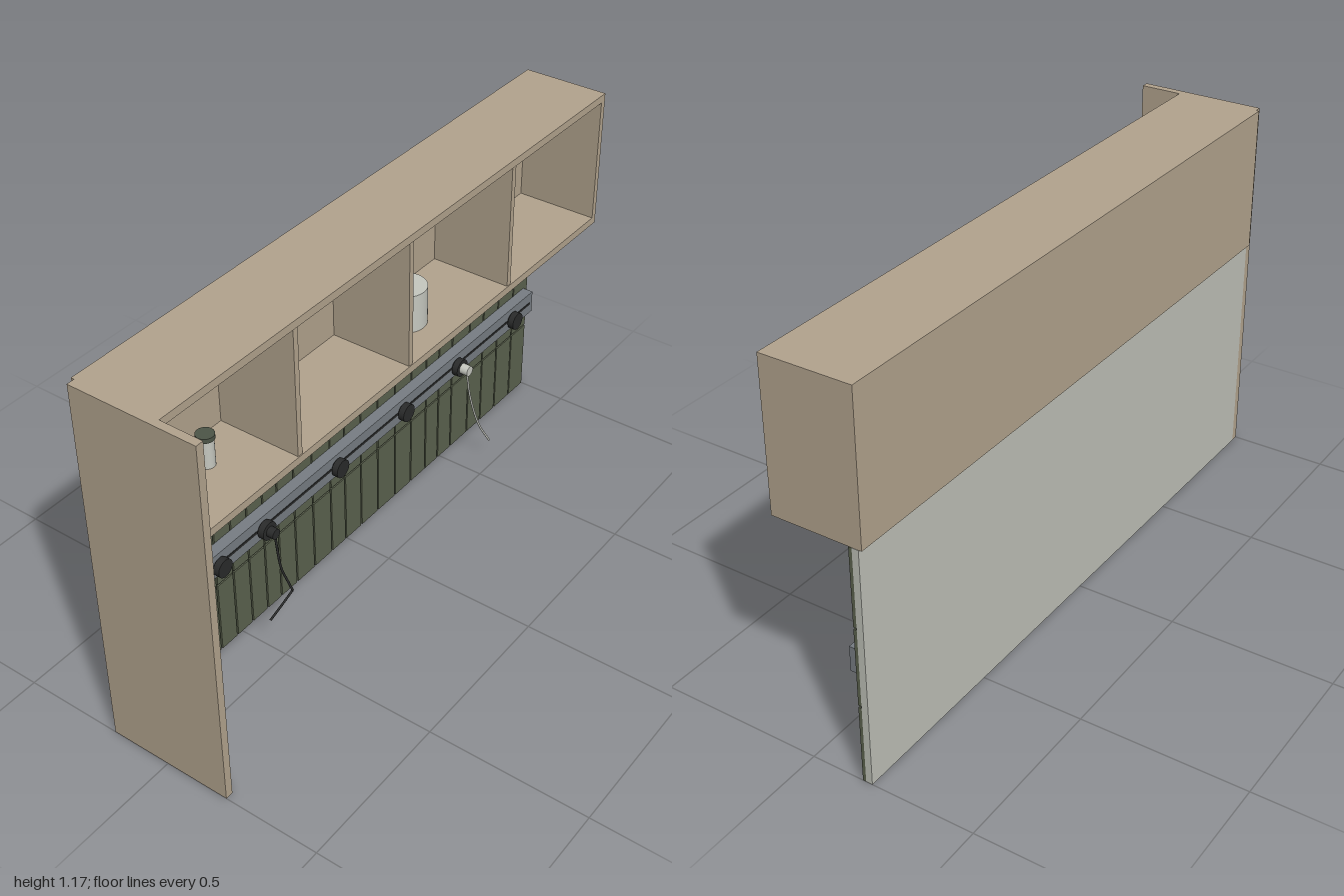
import * as THREE from 'three';

const mat = (name, color, extra = {}) => {
  const m = new THREE.MeshStandardMaterial({ color, ...extra });
  m.name = name;
  return m;
};

export function createModel() {
  const root = new THREE.Group();
  root.name = 'kitchenWallUnit';
  const wood = mat('wood', 0xb3a48e);
  const tileGreen = mat('tileGreen', 0x5b624e);
  const grout = mat('grout', 0x3a3f33);
  const board = mat('boardGrey', 0xbfc1b8);
  const metal = mat('railGrey', 0x787e84);
  const black = mat('black', 0x2a2b2b);
  const white = mat('offWhite', 0xc6c8c0);
  const lidGreen = mat('lidGreen', 0x4d5547);

  const add = (name, geo, material, parent = root) => {
    const mesh = new THREE.Mesh(geo, material);
    mesh.name = name;
    parent.add(mesh);
    return mesh;
  };
  // Box given by its two extreme corners
  const box = (name, x0, x1, y0, y1, z0, z1, material, parent = root) => {
    const mesh = add(name, new THREE.BoxGeometry(x1 - x0, y1 - y0, z1 - z0), material, parent);
    mesh.position.set((x0 + x1) / 2, (y0 + y1) / 2, (z0 + z1) / 2);
    return mesh;
  };
  const group = (name) => {
    const g = new THREE.Group();
    g.name = name;
    root.add(g);
    return g;
  };

  // Tall end panel
  box('endPanel', -1, -0.976, 0, 1.17, -0.19, 0.203, wood);

  // Open wall cabinet
  const cabinet = group('cabinet');
  box('cabinetTop', -0.976, 1, 1.146, 1.17, -0.19, 0.073, wood, cabinet);
  box('cabinetBottom', -0.976, 1, 0.725, 0.749, -0.19, 0.073, wood, cabinet);
  box('cabinetBack', -0.976, 1, 0.725, 1.17, -0.2, -0.19, wood, cabinet);
  box('cabinetRightSide', -0.976, -0.957, 0.749, 1.146, -0.19, 0.073, wood, cabinet);
  box('cabinetLeftSide', 0.981, 1, 0.749, 1.146, -0.19, 0.073, wood, cabinet);
  for (const x of [-0.484, 0.007, 0.505]) {
    box('divider', x - 0.009, x + 0.009, 0.749, 1.146, -0.19, 0.07, wood, cabinet);
  }

  // Backsplash: board, grout and three rows of upright tiles
  const splash = group('backsplash');
  box('backingBoard', -0.976, 1, 0, 0.724, -0.19, -0.17, board, splash);
  box('groutLayer', -0.974, 0.998, 0.001, 0.723, -0.17, -0.166, grout, splash);
  const joints = [-0.976, -0.9, -0.816, -0.73, -0.66, -0.59, -0.52, -0.451, -0.382, -0.318, -0.243,
    -0.158, -0.073, -0.003, 0.077, 0.163, 0.253, 0.339, 0.419, 0.489, 0.563, 0.66, 0.74, 0.826, 0.916, 1];
  const rows = [0, 0.243, 0.485, 0.724];
  const gap = 0.003;
  for (let r = 0; r < 3; r++) {
    for (let i = 0; i < joints.length - 1; i++) {
      box('tile', joints[i] + (i ? gap : 0), joints[i + 1] - (i < joints.length - 2 ? gap : 0),
        rows[r] + (r ? gap : 0), rows[r + 1] - (r < 2 ? gap : 0), -0.17, -0.16, tileGreen, splash);
    }
  }

  // Power rail with a centre slot and round sockets
  const rail = group('powerRail');
  box('railBody', -0.96, 0.978, 0.324, 0.4, -0.16, -0.124, metal, rail);
  box('railSlot', -0.945, 0.963, 0.358, 0.366, -0.124, -0.122, black, rail);
  const disc = (name, x, y, z0, z1, radius, material, parent) => {
    const geo = new THREE.CylinderGeometry(radius, radius, z1 - z0, 32).rotateX(Math.PI / 2);
    add(name, geo, material, parent).position.set(x, y, (z0 + z1) / 2);
  };
  for (const x of [-0.806, -0.616, -0.427, -0.09, 0.24, 0.528, 0.85]) {
    disc('socketNeck', x, 0.362, -0.124, -0.118, 0.02, black, rail);
    disc('socket', x, 0.362, -0.118, -0.098, 0.029, black, rail);
  }

  // Plugs and hanging cords
  const cord = (name, points, radius, material) => {
    const curve = new THREE.CatmullRomCurve3(points.map((p) => new THREE.Vector3(...p)), false, 'centripetal');
    add(name, new THREE.TubeGeometry(curve, 48, radius, 8), material);
  };
  disc('whitePlug', 0.528, 0.362, -0.098, -0.07, 0.017, white, root);
  cord('whiteCord', [[0.528, 0.348, -0.08], [0.53, 0.26, -0.066], [0.552, 0.15, -0.045], [0.59, 0.07, -0.027]], 0.0032, white);
  disc('blackPlug', -0.427, 0.362, -0.098, -0.075, 0.016, black, root);
  cord('blackCord', [[-0.427, 0.35, -0.08], [-0.428, 0.245, -0.063], [-0.415, 0.19, -0.052], [-0.405, 0.152, -0.044]], 0.0035, black);
  cord('blackCordEnd', [[-0.405, 0.152, -0.044], [-0.465, 0.144, -0.036], [-0.525, 0.134, -0.03]], 0.0035, black);

  // Things on the shelf
  const can = (name, x, z, y0, y1, radius, material) => {
    add(name, new THREE.CylinderGeometry(radius, radius, y1 - y0, 40), material).position.set(x, (y0 + y1) / 2, z);
  };
  can('canister', 0.175, -0.07, 0.749, 0.87, 0.065, white);
  can('jar', -0.652, -0.1, 0.749, 0.834, 0.023, white);
  can('jarLid', -0.652, -0.1, 0.834, 0.848, 0.026, lidGreen);

  return root;
}
